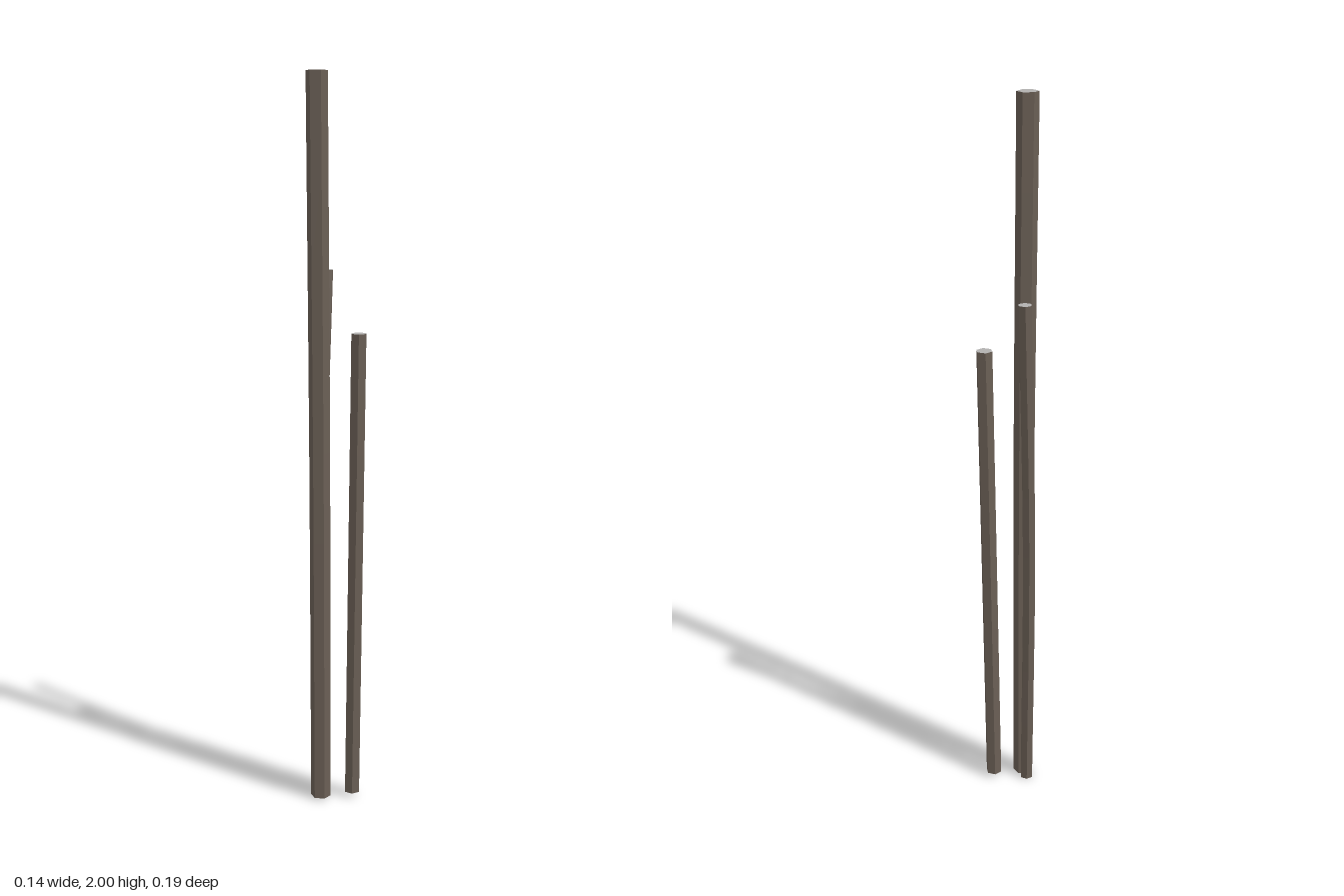
import * as THREE from 'three';

const bark = new THREE.MeshStandardMaterial({ color: 0x6a5f55, flatShading: true });
bark.name = 'bark';
const cutWood = new THREE.MeshStandardMaterial({ color: 0xb2b1b0, flatShading: true });
cutWood.name = 'cut wood';

// Six-sided pole that follows a gentle curve through the given centre points
function pole(name, points, radiusBottom, radiusTop, turn) {
  const curve = new THREE.CatmullRomCurve3(points.map((p) => new THREE.Vector3(...p)));
  const geometry = new THREE.CylinderGeometry(radiusTop, radiusBottom, 1, 6, 8);
  geometry.rotateY(THREE.MathUtils.degToRad(turn));
  const pos = geometry.attributes.position;
  const centre = new THREE.Vector3();
  for (let i = 0; i < pos.count; i++) {
    curve.getPoint(THREE.MathUtils.clamp(pos.getY(i) + 0.5, 0, 1), centre);
    pos.setXYZ(i, pos.getX(i) + centre.x, centre.y, pos.getZ(i) + centre.z);
  }
  geometry.computeVertexNormals();
  // material order: side, top cap, bottom cap
  const mesh = new THREE.Mesh(geometry, [bark, cutWood, bark]);
  mesh.name = name;
  return mesh;
}

export function createModel() {
  const model = new THREE.Group();
  model.name = 'poles';
  model.add(
    pole('tallPole', [[-0.04, 0.005, 0.012], [-0.043, 1, 0.014], [-0.045, 2, 0.004]], 0.028, 0.029, -2),
    pole('thinLeaningPole', [[-0.033, 0, -0.018], [-0.018, 0.75, -0.048], [0.018, 1.483, -0.077]], 0.019, 0.019, 28),
    pole('shortPole', [[0.044, 0.015, 0.041], [0.045, 0.67, 0.056], [0.045, 1.325, 0.073]], 0.023, 0.023, 35),
  );
  return model;
}
